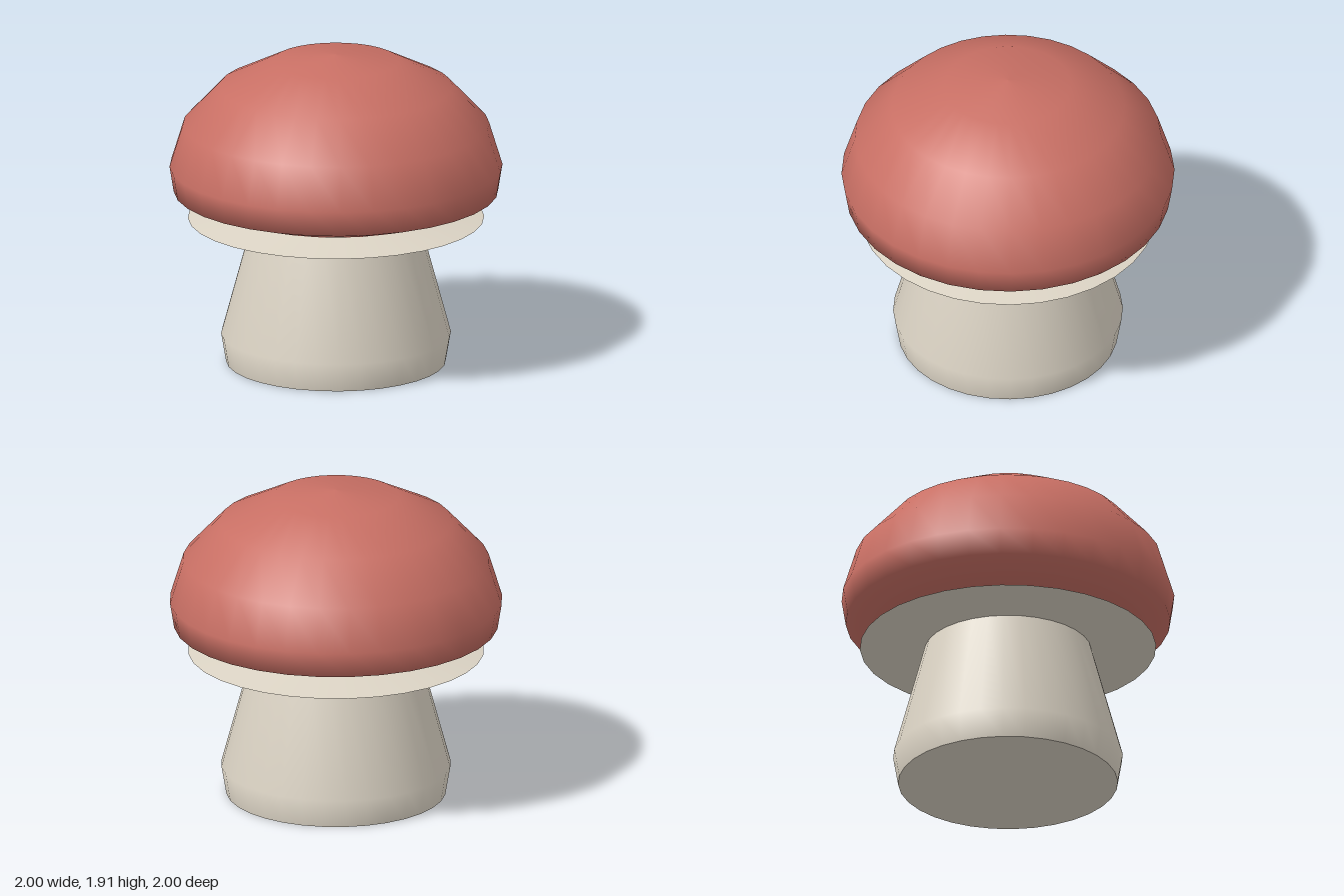
import * as THREE from 'three';

const SIDES = 32;

// Smooth surface of revolution from [radius, height] points, listed bottom to top.
function turned(name, profile, material) {
  const points = profile.map(([r, y]) => new THREE.Vector2(r, y));
  const mesh = new THREE.Mesh(new THREE.LatheGeometry(points, SIDES), material);
  mesh.name = name;
  return mesh;
}

export function createModel() {
  const red = new THREE.MeshStandardMaterial({ color: 0xc86f64 });
  red.name = 'cap red';
  const cream = new THREE.MeshStandardMaterial({ color: 0xdbd3c4 });
  cream.name = 'stalk cream';

  const mushroom = new THREE.Group();
  mushroom.name = 'mushroom';

  // Domed cap with a tucked-in rim and almost flat underside
  mushroom.add(turned('cap', [
    [0, 0.955], [0.7, 0.975], [0.975, 1.065], [1, 1.22], [0.92, 1.48],
    [0.7, 1.715], [0.38, 1.875], [0, 1.915],
  ], red));

  // Thin flared skirt: separate top and underside keep its rim sharp
  const skirt = new THREE.Group();
  skirt.name = 'skirt';
  skirt.add(
    turned('skirtTop', [[0.89, 0.897], [0.48, 0.972]], cream),
    turned('skirtUnderside', [[0.48, 0.874], [0.89, 0.897]], cream),
  );
  mushroom.add(skirt);

  // Tapered stalk, widest just above the ground
  mushroom.add(turned('stalk', [[0.66, 0], [0.69, 0.175], [0.5, 0.88], [0.48, 0.965]], cream));

  // Flat foot closing the stalk
  const foot = new THREE.Mesh(new THREE.CircleGeometry(0.66, SIDES), cream);
  foot.name = 'foot';
  foot.rotation.x = Math.PI / 2;
  mushroom.add(foot);

  return mushroom;
}
